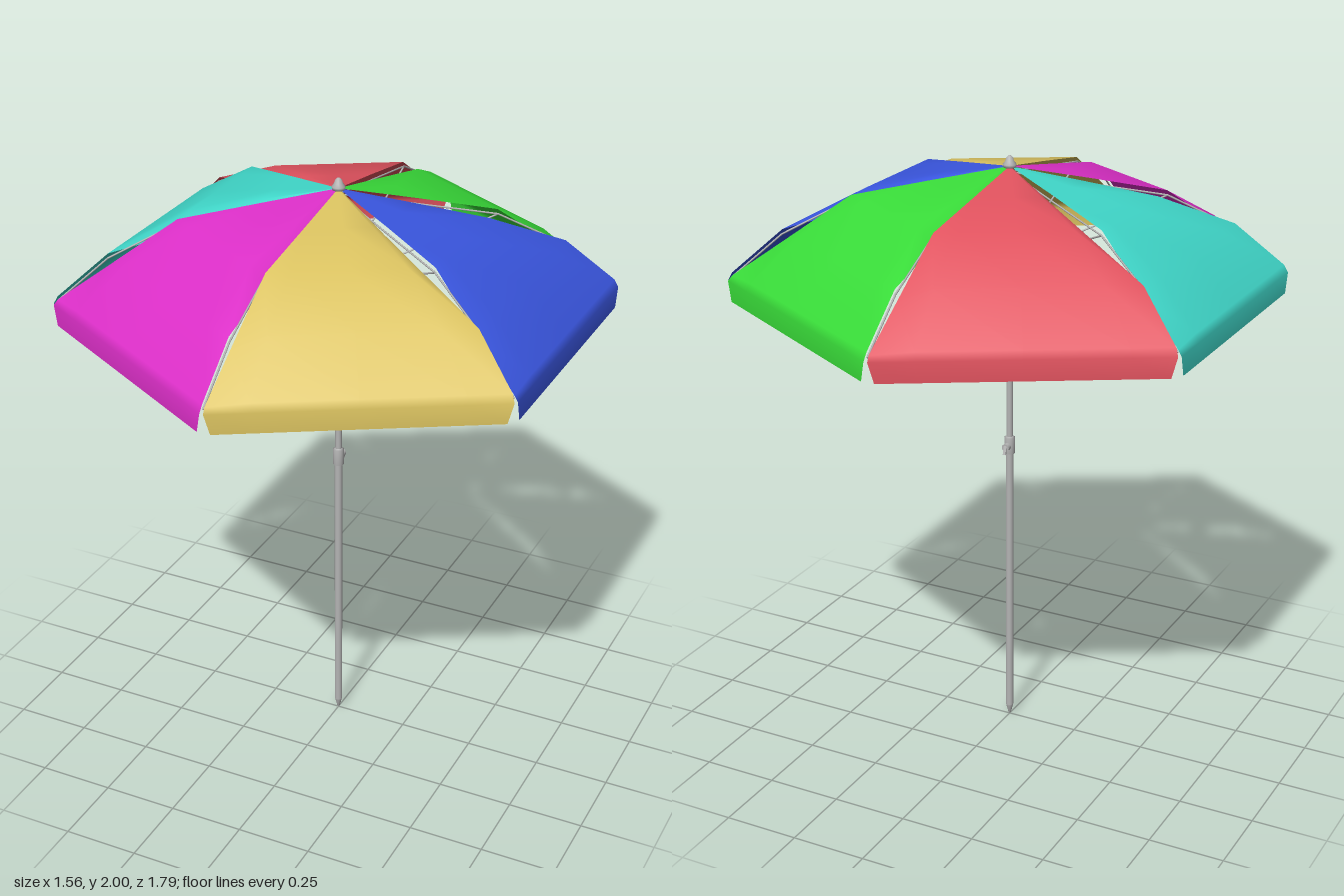
import * as THREE from 'three';

const mat = (name, color) => Object.assign(new THREE.MeshStandardMaterial({ color }), { name });
const cloth = (name, color) => {
  const m = mat(name, color);
  m.side = THREE.DoubleSide;
  return m;
};

// Point at a radius, height and angle; angle 0 is the front, growing towards +x
const polar = (r, y, a) => new THREE.Vector3(r * Math.sin(a), y, r * Math.cos(a));
const SECTOR = Math.PI / 3;

// Canopy rings from crown to valance: seam radius, height, height at left and right edge, side gap
const RINGS = [
  [0.004, 1.965, 1.965, 1.965, 0],
  [0.25, 1.924, 1.924, 1.897, 0.003],
  [0.5, 1.88, 1.88, 1.83, 0.003],
  [0.72, 1.77, 1.732, 1.77, 0.003],
  [0.885, 1.63, 1.622, 1.63, 0.004],
  [0.9, 1.605, 1.605, 1.605, 0.007],
  [0.9, 1.54, 1.54, 1.54, 0.025],
];
const ACROSS = [0, 0.15, 0.5, 0.85, 1];

// One cloth panel between two seams, with slack edges that leave slits beside the ribs
function panelGeometry(start) {
  const pos = [], index = [], n = ACROSS.length;
  for (const [r, y, yLeft, yRight, gap] of RINGS) {
    const left = polar(r, y, start), right = polar(r, y, start + SECTOR);
    ACROSS.forEach((u, i) => {
      const t = gap / r + u * (1 - 2 * gap / r);
      const p = left.clone().lerp(right, t);
      const h = i === 0 ? yLeft : i === n - 1 ? yRight : y;
      pos.push(p.x, h, p.z);
    });
  }
  for (let j = 0; j < RINGS.length - 1; j++) {
    for (let i = 0; i < n - 1; i++) {
      const a = j * n + i, b = a + n;
      index.push(a, b, b + 1, a, b + 1, a + 1);
    }
  }
  const g = new THREE.BufferGeometry();
  g.setAttribute('position', new THREE.Float32BufferAttribute(pos, 3));
  g.setIndex(index);
  g.computeVertexNormals();
  return g;
}

export function createModel() {
  const group = new THREE.Group();
  const metal = mat('grey metal', 0xb4b4b4);
  const add = (name, geometry, material, parent = group) => {
    const m = new THREE.Mesh(geometry, material);
    m.name = name;
    parent.add(m);
    return m;
  };
  const lathe = (name, pts) =>
    add(name, new THREE.LatheGeometry(pts.map(p => new THREE.Vector2(...p)), 16), metal);
  const rod = (name, a, b, r, parent) => {
    const m = add(name, new THREE.CylinderGeometry(r, r, a.distanceTo(b), 6), metal, parent);
    m.position.copy(a).lerp(b, 0.5);
    m.quaternion.setFromUnitVectors(new THREE.Vector3(0, 1, 0), b.clone().sub(a).normalize());
  };

  // Canopy panels, starting right of the front seam
  const canopy = new THREE.Group();
  canopy.name = 'canopy';
  group.add(canopy);
  [
    ['sand', 0xdac260], ['blue', 0x3a56e0], ['green', 0x39dc39],
    ['red', 0xe0525e], ['turquoise', 0x40d8ca], ['magenta', 0xdc2fc8],
  ].forEach(([name, color], i) =>
    add(name + 'Panel', panelGeometry(i * SECTOR), cloth(name + ' cloth', color), canopy));

  // Ribs under the seams, with stretchers from the sliding hub
  const frame = new THREE.Group();
  frame.name = 'ribFrame';
  group.add(frame);
  for (let i = 0; i < 6; i++) {
    const a = i * SECTOR;
    const pts = [[0.01, 1.945], [0.5, 1.865], [0.72, 1.755], [0.885, 1.615]].map(([r, y]) => polar(r, y, a));
    for (let k = 0; k < 3; k++) rod('rib', pts[k], pts[k + 1], 0.003, frame);
    rod('stretcher', polar(0.015, 1.66, a), pts[1], 0.003, frame);
  }

  // Pole in two sections with a pointed foot
  lathe('lowerPole', [[0, 0], [0.004, 0.004], [0.012, 0.035], [0.013, 0.04], [0.013, 1.0]]);
  lathe('upperPole', [[0.011, 1.0], [0.011, 1.96]]);

  // Joint sleeve and its clamp knob at the back
  lathe('jointSleeve', [[0.012, 0.99], [0.018, 0.992], [0.018, 1.048], [0.011, 1.052]]);
  const knob = add('clampKnob', new THREE.CylinderGeometry(0.013, 0.013, 0.016, 12), metal);
  knob.rotation.x = Math.PI / 2;
  knob.position.set(0, 1.02, -0.024);
  const lever = add('clampLever', new THREE.BoxGeometry(0.01, 0.03, 0.006), metal);
  lever.position.set(0, 1.012, -0.034);
  lever.rotation.x = 0.3;

  // Sliding hub, crown hub and finial
  lathe('slidingHub', [[0.011, 1.635], [0.02, 1.637], [0.02, 1.668], [0.011, 1.67]]);
  lathe('crownHub', [[0.011, 1.915], [0.018, 1.918], [0.018, 1.95], [0.011, 1.955]]);
  lathe('finial', [[0, 1.958], [0.02, 1.962], [0.022, 1.972], [0.014, 1.982], [0.011, 1.993], [0.005, 1.999], [0, 2]]);

  return group;
}
